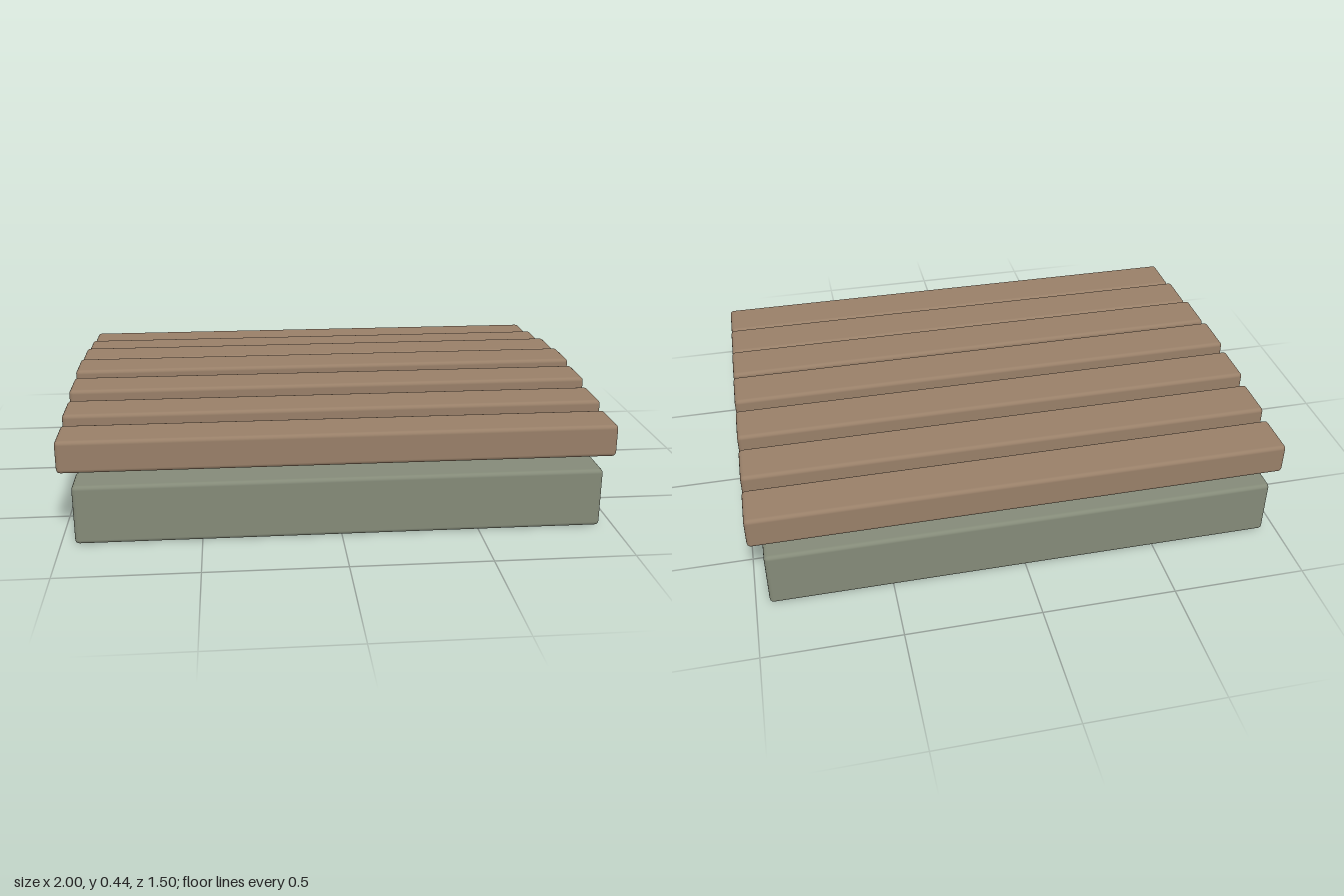
import * as THREE from 'three';
import { RoundedBoxGeometry } from 'three/addons/geometries/RoundedBoxGeometry.js';

export function createModel() {
  const model = new THREE.Group();
  model.name = 'slattedPlatform';

  const wood = new THREE.MeshStandardMaterial({ color: 0x987f68 });
  wood.name = 'brown wood';
  const paint = new THREE.MeshStandardMaterial({ color: 0x848a78 });
  paint.name = 'grey green paint';

  // A timber with softly rounded edges, placed by its centre
  function timber(name, material, size, position) {
    const mesh = new THREE.Mesh(new RoundedBoxGeometry(...size, 2, 0.015), material);
    mesh.name = name;
    mesh.position.set(...position);
    model.add(mesh);
  }

  // Deck slats, arched slightly towards the middle
  const slatHeights = [0.383, 0.369, 0.345, 0.322];
  for (let i = -3; i <= 3; i++) {
    timber(`slat${i + 4}`, wood, [2, 0.12, 0.178], [0, slatHeights[Math.abs(i)], i * 0.2143]);
  }

  // Painted rails at front and back, joined by two cross beams
  for (const side of [1, -1]) {
    timber(side > 0 ? 'frontRail' : 'backRail', paint, [1.9, 0.22, 0.15], [0, 0.11, side * 0.675]);
    timber(side > 0 ? 'leftBeam' : 'rightBeam', wood, [0.21, 0.19, 1.2], [side * 0.69, 0.125, 0]);
  }

  return model;
}
